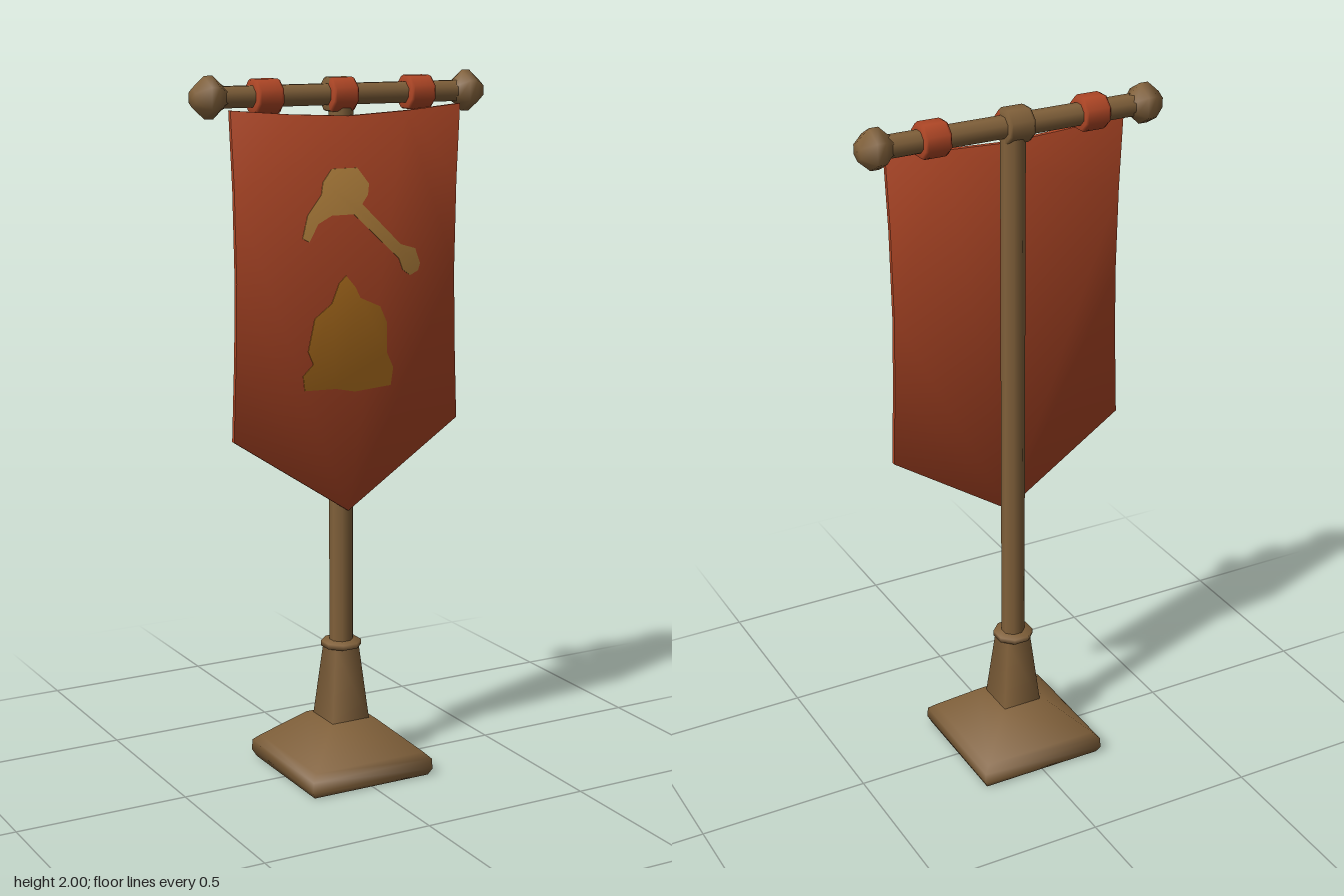
import * as THREE from 'three';

const wood = new THREE.MeshStandardMaterial({ color: 0x80603a });
wood.name = 'wood';
const red = new THREE.MeshStandardMaterial({ color: 0xb04726 });
red.name = 'red cloth';
const tan = new THREE.MeshStandardMaterial({ color: 0xb8853f });
tan.name = 'tan emblem';
const gold = new THREE.MeshStandardMaterial({ color: 0xc07a22 });
gold.name = 'gold emblem';

const BAR_Y = 1.943;

// Turned part: profile is [radius, height] pairs from bottom to top
function turned(name, profile, sides, material, start = 0, sweep = Math.PI * 2) {
  const points = profile.map(([r, y]) => new THREE.Vector2(r, y));
  const mesh = new THREE.Mesh(new THREE.LatheGeometry(points, sides, start, sweep), material);
  mesh.name = name;
  return mesh;
}

// Square part: profile gives half widths
function square(name, profile, material) {
  return turned(name, profile.map(([w, y]) => [w * Math.SQRT2, y]), 4, material, Math.PI / 4);
}

// Lay a turned part along the crossbar
function onBar(mesh, x, z = 0) {
  mesh.rotation.z = -Math.PI / 2;
  mesh.position.set(x, BAR_Y, z);
  return mesh;
}

// Thin plate with soft normals that lean outward from the middle of the banner
function plate(name, outline, z, depth, material) {
  const shape = new THREE.Shape(outline.map(([x, y]) => new THREE.Vector2(x, y)));
  const geometry = new THREE.ExtrudeGeometry(shape, { depth, bevelEnabled: false });
  geometry.translate(0, 0, z);
  const p = geometry.attributes.position;
  const n = geometry.attributes.normal;
  const v = new THREE.Vector3();
  for (let i = 0; i < p.count; i++) {
    if (Math.abs(n.getZ(i)) < 0.5) continue;
    v.set(p.getX(i) * 0.8, (p.getY(i) - 1.5) * 0.9, Math.sign(n.getZ(i))).normalize();
    n.setXYZ(i, v.x, v.y, v.z);
  }
  const mesh = new THREE.Mesh(geometry, material);
  mesh.name = name;
  return mesh;
}

export function createModel() {
  const model = new THREE.Group();
  model.name = 'bannerStand';

  // Stand and pole
  model.add(
    square('base', [[0, 0], [0.185, 0], [0.195, 0.02], [0.193, 0.05], [0.175, 0.068], [0.075, 0.155], [0, 0.16]], wood),
    square('neck', [[0.06, 0.15], [0.038, 0.37]], wood),
    turned('collar', [[0.034, 0.365], [0.058, 0.37], [0.058, 0.385], [0.03, 0.39]], 8, wood, Math.PI / 8),
    turned('pole', [[0.034, 0.37], [0.034, 1.93]], 8, wood, Math.PI / 8),
  );

  // Crossbar with a knob on each end
  model.add(onBar(turned('crossbar', [[0.031, -0.38], [0.031, 0.38]], 8, wood, Math.PI / 8), 0));
  const knob = [[0.028, 0.35], [0.035, 0.362], [0.057, 0.385], [0.057, 0.41], [0.026, 0.445], [0, 0.445]];
  const mirrored = knob.map(([r, y]) => [r, -y]).reverse();
  model.add(
    onBar(turned('leftKnob', knob, 6, wood, Math.PI / 2), 0),
    onBar(turned('rightKnob', mirrored, 6, wood, Math.PI / 2), 0),
  );

  // Cloth loops, and a middle bracket with a red front
  const ring = [[0.025, -0.038], [0.046, -0.038], [0.05, -0.03], [0.05, 0.03], [0.046, 0.038], [0.025, 0.038]];
  for (const [name, x] of [['leftLoop', 0.235], ['rightLoop', -0.235]]) {
    model.add(onBar(turned(name, ring, 8, red, Math.PI / 8), x, 0.003));
  }
  const step = Math.PI / 4;
  model.add(
    onBar(turned('bracketFront', ring, 3, red, -1.5 * step, 3 * step), -0.008, 0.003),
    onBar(turned('bracketBack', ring, 5, wood, 1.5 * step, 5 * step), -0.008, 0.003),
  );

  // Hanging cloth with a pointed end
  const side = [[0.355, 1.015], [0.346, 1.25], [0.342, 1.45], [0.346, 1.7], [0.355, 1.91]];
  const cloth = [
    [0, 0.78], ...side, [0.18, 1.895], [0, 1.886], [-0.18, 1.895],
    ...side.map(([x, y]) => [-x, y]).reverse(),
  ];
  model.add(plate('cloth', cloth, 0.03, 0.013, red));

  // Painted tool and mound on the front
  const tool = [
    [-0.053, 1.745], [0.026, 1.745], [0.063, 1.7], [0.06, 1.67], [0.042, 1.645], [0.165, 1.527],
    [0.212, 1.513], [0.228, 1.47], [0.222, 1.45], [0.196, 1.438], [0.172, 1.455], [0.16, 1.487],
    [0.016, 1.618], [-0.053, 1.618], [-0.095, 1.597], [-0.122, 1.549], [-0.143, 1.56],
    [-0.127, 1.623], [-0.085, 1.676], [-0.08, 1.71],
  ];
  const mound = [
    [-0.008, 1.45], [0.022, 1.415], [0.037, 1.385], [0.1, 1.357], [0.122, 1.31], [0.122, 1.225],
    [0.143, 1.18], [0.135, 1.13], [0.02, 1.122], [-0.04, 1.135], [-0.138, 1.138], [-0.143, 1.18],
    [-0.111, 1.21], [-0.127, 1.247], [-0.106, 1.337], [-0.053, 1.375], [-0.03, 1.43],
  ];
  model.add(
    plate('toolEmblem', tool, 0.043, 0.002, tan),
    plate('moundEmblem', mound, 0.043, 0.002, gold),
  );
  return model;
}
